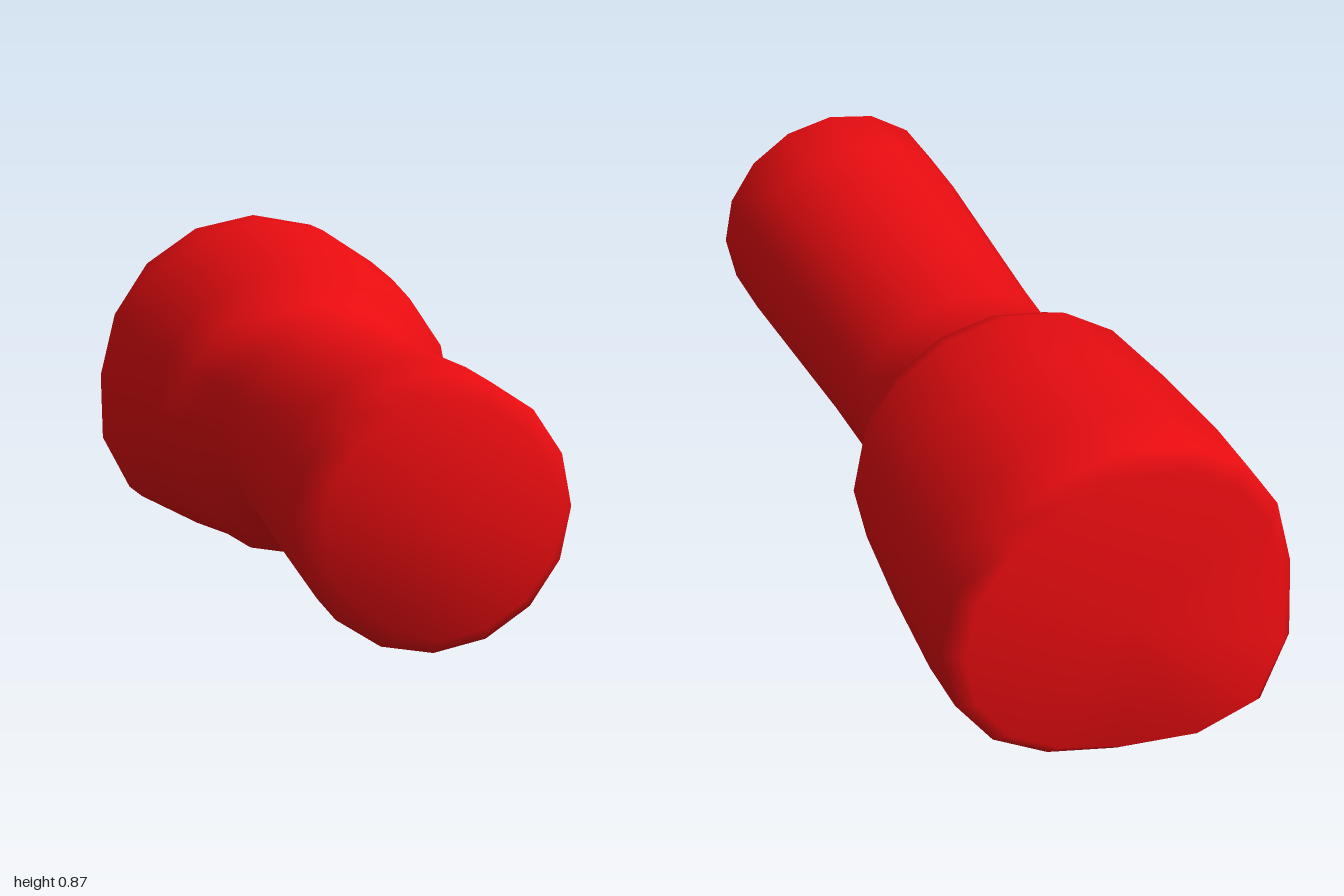
import * as THREE from 'three';
import { mergeVertices } from 'three/addons/utils/BufferGeometryUtils.js';

const AXIS_Y = 0.443;

// Radius and z along the body, from the back of the head to the handle end
const PROFILE = [
  [0, -0.96], [0.39, -0.927], [0.432, -0.89], [0.435, -0.75], [0.42, -0.5],
  [0.397, -0.27], [0.35, -0.19], [0.3, -0.145], [0.282, 0], [0.287, 0.2],
  [0.315, 0.73], [0.316, 0.9], [0.268, 0.967], [0, 1],
];

// Pulls the rim of the head outwards around one point, with a soft falloff
function pullRim(geometry) {
  const centre = new THREE.Vector3(-0.308, -0.308, -0.89);
  const pull = new THREE.Vector3(-0.047, -0.047, -0.077);
  const position = geometry.attributes.position;
  const p = new THREE.Vector3();
  for (let i = 0; i < position.count; i++) {
    p.fromBufferAttribute(position, i);
    const weight = 1 - THREE.MathUtils.smoothstep(p.distanceTo(centre), 0, 0.45);
    p.addScaledVector(pull, weight);
    position.setXYZ(i, p.x, p.y, p.z);
  }
}

export function createModel() {
  const group = new THREE.Group();
  group.name = 'mallet';

  // Sixteen-sided turned body lying along z
  const points = PROFILE.map(([r, z]) => new THREE.Vector2(r, z));
  let geometry = new THREE.LatheGeometry(points, 16);
  geometry.rotateX(Math.PI / 2);
  pullRim(geometry);

  // Weld the seam and the end points so the shading is smooth all over
  geometry.deleteAttribute('normal');
  geometry.deleteAttribute('uv');
  geometry = mergeVertices(geometry, 1e-4);
  geometry.computeVertexNormals();
  geometry.translate(0, AXIS_Y, 0);

  const body = new THREE.Mesh(geometry, new THREE.MeshStandardMaterial({ color: 0xe80c10 }));
  body.name = 'handleAndHead';
  group.add(body);
  return group;
}
